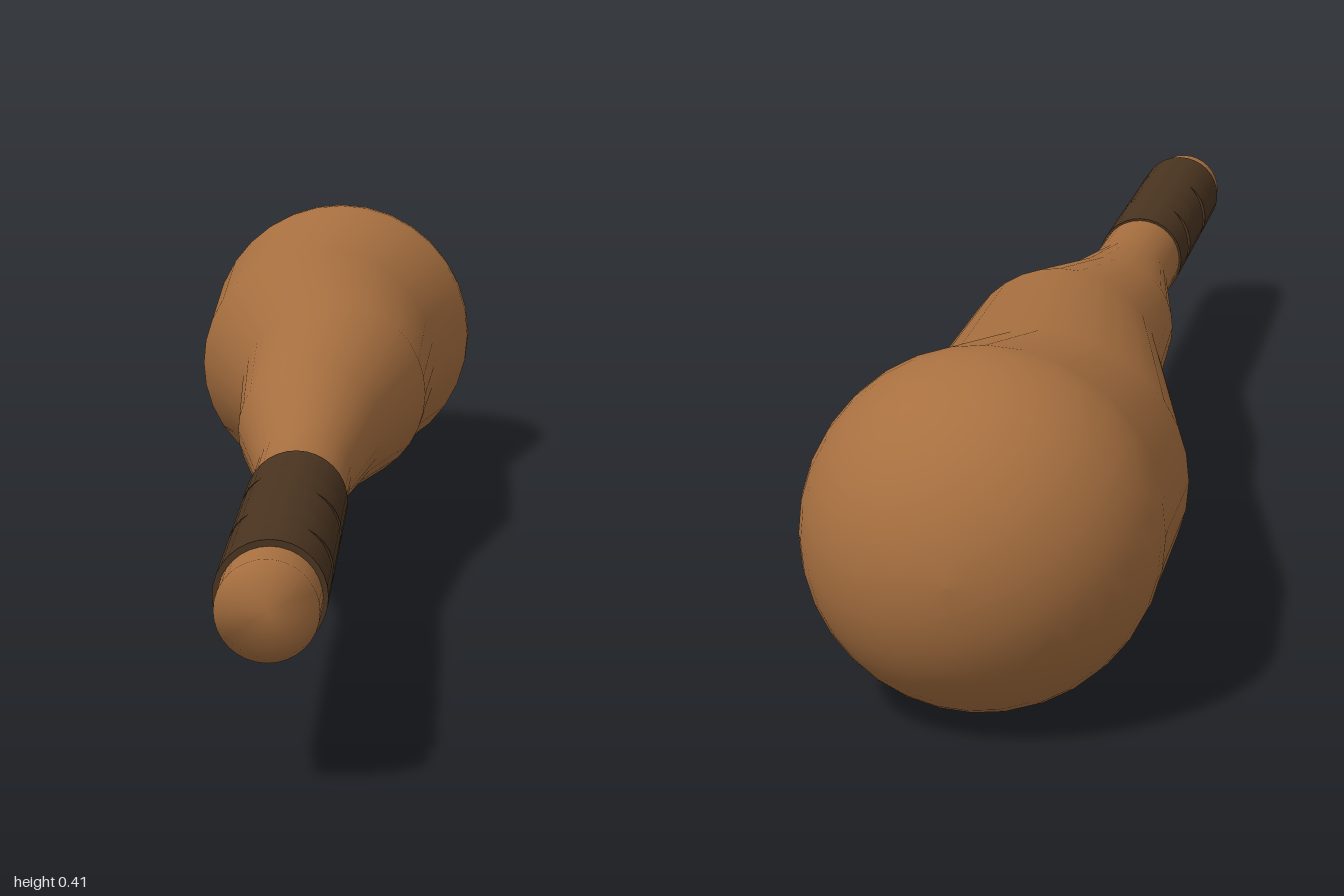
import * as THREE from 'three';
import { toCreasedNormals } from 'three/addons/utils/BufferGeometryUtils.js';

const SIDES = 32;

// Skin round cross-sections listed from +z to -z: { z, x, y, r }, where z may depend on the angle
function loft(sections) {
  const pos = [], index = [];
  for (const s of sections) {
    for (let j = 0; j < SIDES; j++) {
      const a = (j / SIDES) * Math.PI * 2;
      const z = typeof s.z === 'function' ? s.z(a) : s.z;
      pos.push(s.x + s.r * Math.cos(a), s.y + s.r * Math.sin(a), z);
    }
  }
  for (let i = 0; i < sections.length - 1; i++) {
    for (let j = 0; j < SIDES; j++) {
      const k = (j + 1) % SIDES;
      const a = i * SIDES + j, b = i * SIDES + k;
      const c = a + SIDES, d = b + SIDES;
      index.push(a, c, b, b, c, d);
    }
  }
  const geo = new THREE.BufferGeometry();
  geo.setAttribute('position', new THREE.Float32BufferAttribute(pos, 3));
  geo.setIndex(index);
  geo.computeVertexNormals();
  return geo;
}

export function createModel() {
  const club = new THREE.Group();
  club.name = 'club';
  const wood = new THREE.MeshStandardMaterial({ color: 0xa87040 });
  const leather = new THREE.MeshStandardMaterial({ color: 0x4a3420, side: THREE.DoubleSide });

  // Knobbly shaft: z, centre x, centre y, radius
  const sections = [
    [1, 0.005, 0.208, 0],
    [1, 0.005, 0.208, 0.056],
    [0.48, 0.005, 0.21, 0.059],
    [0.33, 0.005, 0.21, 0.06],
    [0.07, -0.002, 0.214, 0.096],
    [-0.17, 0.018, 0.221, 0.13],
    [-0.56, -0.023, 0.194, 0.178],
    [-0.77, 0, 0.205, 0.204],
  ].map(([z, x, y, r]) => ({ z, x, y, r }));

  // Rounded head
  const R = 0.205, steps = 12;
  for (let i = 0; i <= steps; i++) {
    const t = (i / steps) * Math.PI / 2;
    sections.push({ z: -0.795 - R * Math.sin(t), x: 0, y: R, r: R * Math.cos(t) });
  }
  const body = new THREE.Mesh(loft(sections), wood);
  body.name = 'body';
  club.add(body);

  // Grip bands, with crescent gaps on alternating sides
  const grip = new THREE.Group();
  grip.name = 'grip';
  const edges = [0.945, 0.85, 0.778, 0.67, 0.59, 0.48];
  for (let i = 0; i < edges.length - 1; i++) {
    const side = i % 2 ? 1 : -1;
    const front = (a) => edges[i] - (i ? Math.max(0, 0.058 * (side * Math.cos(a) - 0.62)) : 0);
    const ring = (z, r) => ({ z, x: 0.005, y: 0.21, r });
    const geo = loft([
      ring(front, 0.054), ring(front, 0.062),
      ring(edges[i + 1], 0.062), ring(edges[i + 1], 0.054),
    ]);
    const band = new THREE.Mesh(toCreasedNormals(geo, Math.PI / 5), leather);
    band.name = 'gripBand' + (i + 1);
    grip.add(band);
  }
  club.add(grip);
  return club;
}
